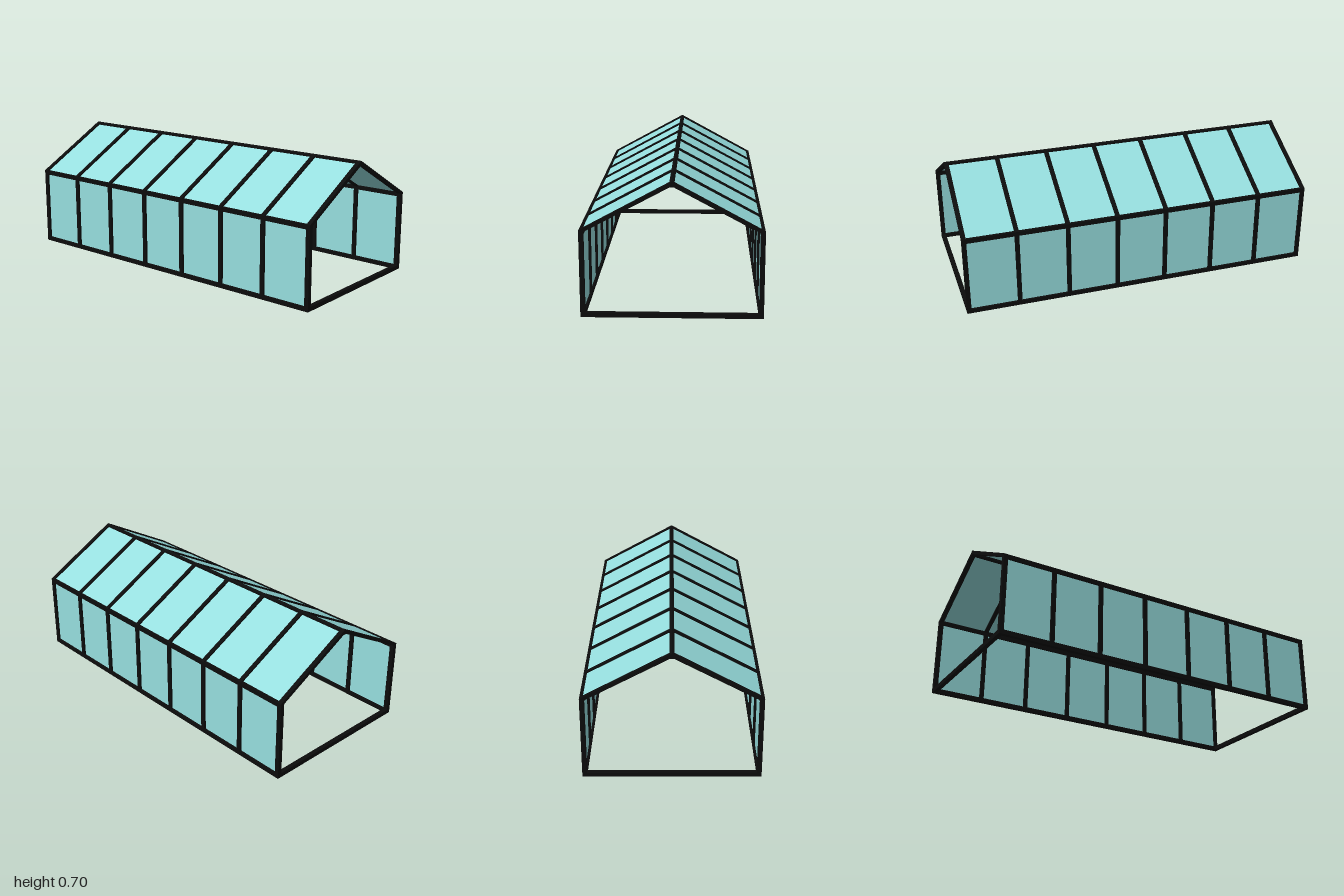
import * as THREE from 'three';

const HALF_W = 0.461, BEAM = 0.024, INNER = HALF_W - BEAM;
const EAVE = 0.453, RIDGE = 0.704, HALF_L = 1, BAYS = 7;

export function createModel() {
  const group = new THREE.Group();
  const frameMat = new THREE.MeshStandardMaterial({ color: 0x0c0c0c });
  const glassMat = new THREE.MeshStandardMaterial({ color: 0x96dede, side: THREE.DoubleSide });

  const add = (name, geometry, material, x = 0, y = 0, z = 0) => {
    const mesh = new THREE.Mesh(geometry, material);
    mesh.name = name;
    mesh.position.set(x, y, z);
    group.add(mesh);
    return mesh;
  };

  // House-shaped rib: two posts and two rafters, open at the bottom
  const arch = new THREE.Shape([
    [-HALF_W, 0], [-INNER, 0], [-INNER, 0.446], [0, 0.681], [INNER, 0.446], [INNER, 0],
    [HALF_W, 0], [HALF_W, EAVE], [0, RIDGE], [-HALF_W, EAVE],
  ].map(([x, y]) => new THREE.Vector2(x, y)));
  const ribGeo = new THREE.ExtrudeGeometry(arch, { depth: BEAM, bevelEnabled: false });
  ribGeo.translate(0, 0, -BEAM / 2);
  const end = HALF_L - BEAM / 2;
  for (let i = 0; i <= BAYS; i++) {
    add('rib' + (i + 1), ribGeo, frameMat, 0, 0, -end + (2 * end * i) / BAYS);
  }

  // Ground beams across the open ends
  for (const s of [1, -1]) {
    add(s > 0 ? 'frontSill' : 'backSill', new THREE.BoxGeometry(2 * INNER, BEAM, BEAM),
      frameMat, 0, BEAM / 2, s * end);
  }

  // Ridge beam, following the roof slope
  const peak = new THREE.Shape([
    [-0.012, 0.675], [0.012, 0.675], [0.012, 0.6975], [0, RIDGE], [-0.012, 0.6975],
  ].map(([x, y]) => new THREE.Vector2(x, y)));
  const ridgeGeo = new THREE.ExtrudeGeometry(peak, { depth: 2 * HALF_L, bevelEnabled: false });
  add('ridgeBeam', ridgeGeo, frameMat, 0, 0, -HALF_L);

  // Long rails and glazing, mirrored left and right
  const railGeo = new THREE.BoxGeometry(BEAM, BEAM, 2 * HALF_L);
  const midX = HALF_W - BEAM / 2, eaveY = 0.45, ridgeY = 0.693;
  const slope = Math.atan2(ridgeY - eaveY, midX);
  const roofGeo = new THREE.PlaneGeometry(Math.hypot(midX, ridgeY - eaveY), 2 * end);
  roofGeo.rotateX(-Math.PI / 2);
  const wallGeo = new THREE.PlaneGeometry(2 * end, eaveY - BEAM / 2);
  for (const s of [1, -1]) {
    const side = s > 0 ? 'left' : 'right';
    add(side + 'GroundRail', railGeo, frameMat, s * midX, BEAM / 2, 0);
    add(side + 'EaveRail', railGeo, frameMat, s * midX, EAVE - BEAM / 2, 0);
    add(side + 'WallGlass', wallGeo, glassMat, s * midX, (eaveY + BEAM / 2) / 2, 0)
      .rotation.y = s * Math.PI / 2;
    add(side + 'RoofGlass', roofGeo, glassMat, s * midX / 2, (eaveY + ridgeY) / 2, 0)
      .rotation.z = -s * slope;
  }
  return group;
}
